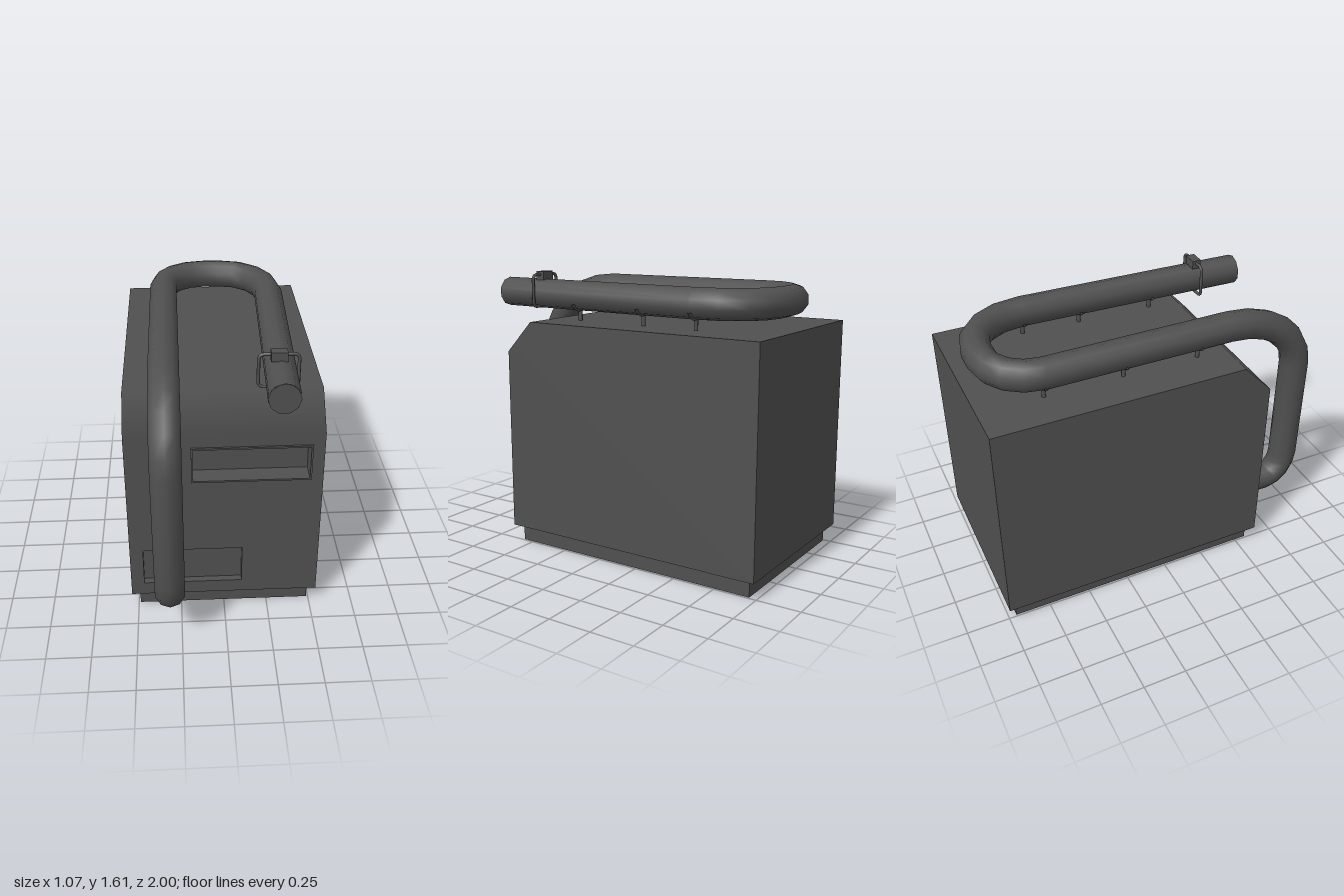
import * as THREE from 'three';

const mat = new THREE.MeshStandardMaterial({ color: 0x505050 });
const V = (x, y, z) => new THREE.Vector3(x, y, z);

function add(parent, name, geo, x = 0, y = 0, z = 0) {
  const m = new THREE.Mesh(geo, mat);
  m.name = name;
  m.position.set(x, y, z);
  parent.add(m);
  return m;
}

// Box given by its limits on each axis
function box(parent, name, x0, x1, y0, y1, z0, z1) {
  return add(parent, name, new THREE.BoxGeometry(x1 - x0, y1 - y0, z1 - z0),
    (x0 + x1) / 2, (y0 + y1) / 2, (z0 + z1) / 2);
}

function rect(Type, x0, x1, y0, y1) {
  return new Type([[x0, y0], [x1, y0], [x1, y1], [x0, y1]].map(p => new THREE.Vector2(...p)));
}

// Quarter bend from a to b, leaving a towards the corner c
function bend(a, c, b, steps) {
  const k = 0.552;
  return new THREE.CubicBezierCurve3(a, a.clone().lerp(c, k), b.clone().lerp(c, k), b).getPoints(steps);
}

// Tube with one ring at each given point
function sweep(pts, radius, sides) {
  const n = pts.length - 1;
  const curve = new THREE.Curve();
  const at = u => Math.round(u * n);
  curve.getPoint = curve.getPointAt = (u, t = V(0, 0, 0)) => t.copy(pts[at(u)]);
  curve.getTangent = curve.getTangentAt = (u, t = V(0, 0, 0)) => {
    const i = at(u), p = pts[i];
    t.set(0, 0, 0);
    if (i > 0) t.add(p.clone().sub(pts[i - 1]).normalize());
    if (i < n) t.add(pts[i + 1].clone().sub(p).normalize());
    return t.normalize();
  };
  return new THREE.TubeGeometry(curve, n, radius, sides, false);
}

export function createModel() {
  const model = new THREE.Group();
  model.name = 'boiler';
  const W = 0.535, FRONT = 0.61, DEEP = 0.51;

  // Plinth
  box(model, 'plinth', -0.49, 0.49, 0, 0.11, -0.955, 0.57);

  // Cabinet: side profile with the sloped front edge, drawn in (z, y)
  const profile = new THREE.Shape([[-1, 0.1], [DEEP, 0.1], [DEEP, 1.16], [FRONT, 1.16], [0.44, 1.34], [-1, 1.34]]
    .map(p => new THREE.Vector2(...p)));
  const cabinet = new THREE.ExtrudeGeometry(profile, { depth: 2 * W, bevelEnabled: false });
  cabinet.rotateY(-Math.PI / 2);
  // The slope is shaded smoothly from the front into the top
  const { position, normal } = cabinet.attributes;
  for (let i = 0; i < normal.count; i++) {
    if (normal.getY(i) > 0.1 && normal.getZ(i) > 0.1) {
      const upper = position.getY(i) > 1.25;
      normal.setXYZ(i, 0, upper ? 1 : 0, upper ? 0 : 1);
    }
  }
  add(model, 'cabinet', cabinet, W, 0, 0);

  // Front plate with the window and pipe openings
  const plate = rect(THREE.Shape, -W, W, 0.1, 1.16);
  plate.holes.push(rect(THREE.Path, -0.17, 0.46, 0.885, 1.08), rect(THREE.Path, -0.46, 0.10, 0.18, 0.415));
  add(model, 'frontPlate', new THREE.ExtrudeGeometry(plate, { depth: FRONT - DEEP, bevelEnabled: false }), 0, 0, DEEP);
  box(model, 'pipePanel', -0.46, 0.10, 0.18, 0.415, DEEP, 0.57);

  // Window frame
  const frame = rect(THREE.Shape, -0.18, 0.47, 0.875, 1.09);
  frame.holes.push(rect(THREE.Path, -0.17, 0.46, 0.885, 1.08));
  add(model, 'windowFrame', new THREE.ExtrudeGeometry(frame, { depth: 0.03, bevelEnabled: false }), 0, 0, 0.592);

  // Pipe: out of the front, up, back over the top, round and forward again
  const R = 0.085, L = -0.31, TOP = 1.481, TURN = -0.875;
  const rightX = z => 0.28 + (0.81 - z) * 0.037;
  const path = [
    V(L, 0.295, 0.55),
    ...bend(V(L, 0.295, 0.79), V(L, 0.295, 0.915), V(L, 0.46, 0.915), 4),
    ...bend(V(L, 1.13, 0.915), V(L, TOP, 0.915), V(L, TOP, 0.46), 6),
    ...bend(V(L, TOP, -0.63), V(L, TOP, TURN), V(-0.06, TOP, TURN), 4),
    ...bend(V(0.04, TOP, TURN), V(0.34, TOP, TURN), V(rightX(-0.52), TOP, -0.52), 4),
    V(rightX(0.81), TOP, 0.81),
  ];
  add(model, 'pipe', sweep(path, R, 10));
  add(model, 'pipeEndCap', new THREE.CircleGeometry(R * 0.99, 10), rightX(0.81), TOP, 0.81);

  // Pipe supports: a post with a cradle under the pipe
  const post = new THREE.CylinderGeometry(0.012, 0.012, 0.1, 8);
  const cradle = new THREE.TorusGeometry(R - 0.003, 0.01, 6, 10, Math.PI * 2 / 3);
  cradle.rotateZ(-Math.PI * 5 / 6);
  const support = (name, x, z) => {
    const g = new THREE.Group();
    g.name = name;
    g.position.set(x, 0, z);
    add(g, 'post', post, 0, 1.38, 0);
    add(g, 'cradle', cradle, 0, TOP, 0);
    model.add(g);
  };
  for (const z of [0.26, -0.185, -0.635]) support('leftPipeSupport', L, z);
  for (const z of [0.26, -0.185, -0.525]) support('rightPipeSupport', rightX(z), z);

  // Clamp: rounded wire loop round the pipe, with a block on top
  const clamp = new THREE.Group();
  clamp.name = 'pipeClamp';
  clamp.position.set(0.278, 1.5, 0.54);
  const hx = 0.104, hy = 0.092, r = 0.026;
  const loop = [];
  [[1, 1], [-1, 1], [-1, -1], [1, -1]].forEach(([sx, sy], i) => {
    for (let k = 0; k <= 3; k++) {
      const a = (i + k / 3) * Math.PI / 2;
      loop.push(V(sx * (hx - r) + r * Math.cos(a), sy * (hy - r) + r * Math.sin(a), 0));
    }
  });
  loop.push(loop[0].clone());
  add(clamp, 'clampLoop', sweep(loop, 0.009, 8));
  box(clamp, 'clampBlock', -0.043, 0.043, 0.06, 0.11, -0.026, 0.026);
  model.add(clamp);

  return model;
}
